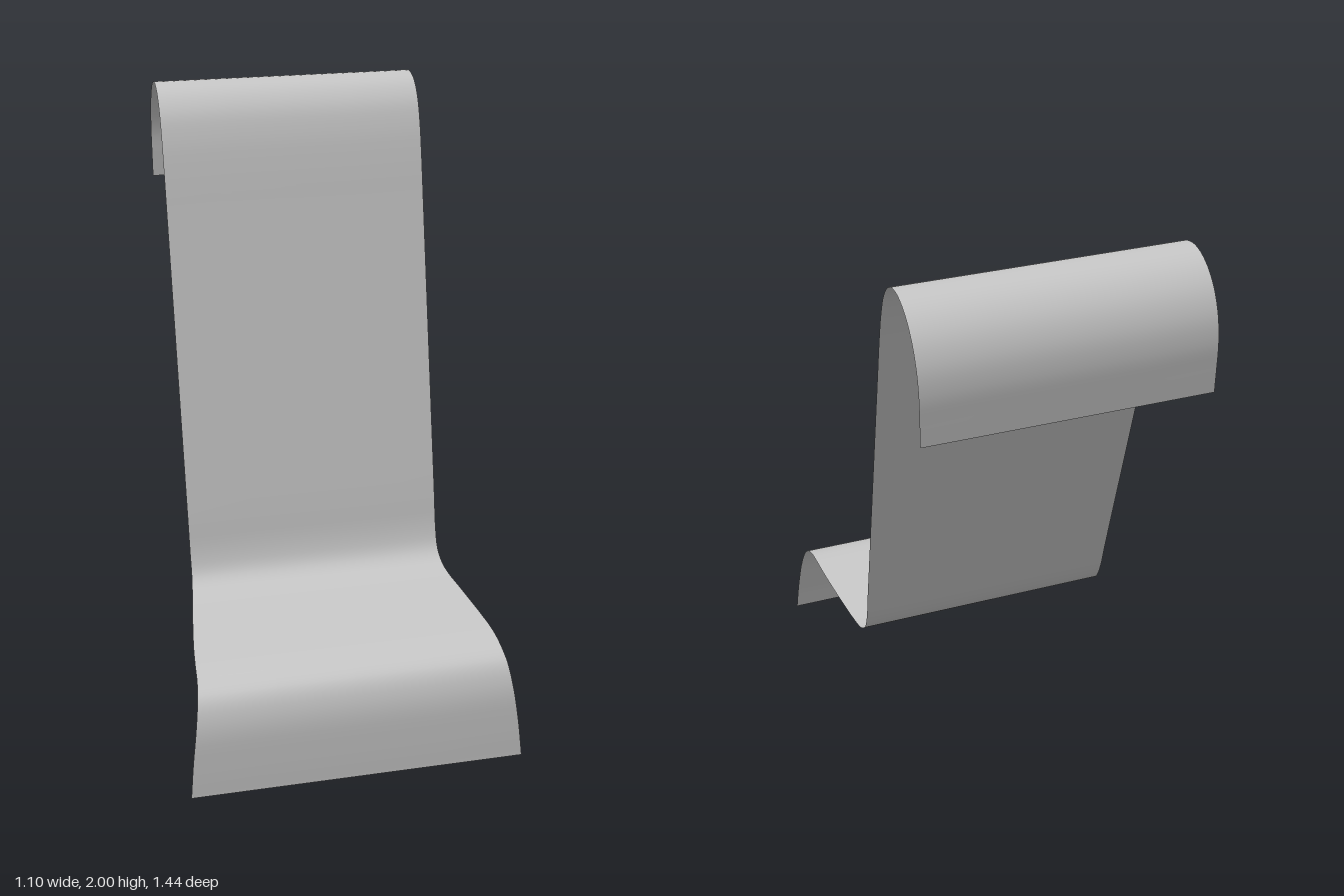
import * as THREE from 'three';

// Side profile of the bent sheet, from the rear hook to the front lip:
// [half width, y, z]
const PROFILE = [
  // rear hook
  [0.443, 1.62, -0.72], [0.443, 1.70, -0.72], [0.443, 1.78, -0.718], [0.443, 1.86, -0.70],
  [0.443, 1.93, -0.66], [0.443, 1.98, -0.60], [0.443, 2.0, -0.53], [0.443, 1.983, -0.46],
  [0.443, 1.93, -0.405], [0.443, 1.85, -0.367], [0.443, 1.75, -0.336],
  // straight leaning back
  [0.443, 1.60, -0.297], [0.443, 1.10, -0.167], [0.443, 0.60, -0.037], [0.443, 0.47, -0.004],
  // lower bend and flat seat
  [0.444, 0.405, 0.027], [0.449, 0.372, 0.07], [0.456, 0.361, 0.13], [0.468, 0.36, 0.22],
  [0.491, 0.362, 0.42], [0.499, 0.362, 0.52],
  // flared front lip
  [0.503, 0.35, 0.59], [0.51, 0.318, 0.645], [0.522, 0.24, 0.685], [0.538, 0.12, 0.706],
  [0.55, 0, 0.72],
];

export function createModel() {
  const group = new THREE.Group();
  group.name = 'bentSheetChair';

  const curve = new THREE.CatmullRomCurve3(PROFILE.map(p => new THREE.Vector3(...p)));
  const rows = curve.getPoints((PROFILE.length - 1) * 4);

  // Drape a flat grid along the profile, one row per profile point
  const columns = 4;
  const geometry = new THREE.PlaneGeometry(2, 1, columns, rows.length - 1);
  const position = geometry.attributes.position;
  for (let i = 0; i < position.count; i++) {
    const row = rows[Math.floor(i / (columns + 1))];
    position.setXYZ(i, position.getX(i) * row.x, row.y, row.z);
  }
  geometry.computeVertexNormals();

  const sheet = new THREE.Mesh(
    geometry,
    new THREE.MeshStandardMaterial({ color: 0xcccccc, side: THREE.DoubleSide })
  );
  sheet.name = 'seatAndBackSheet';
  group.add(sheet);
  return group;
}
